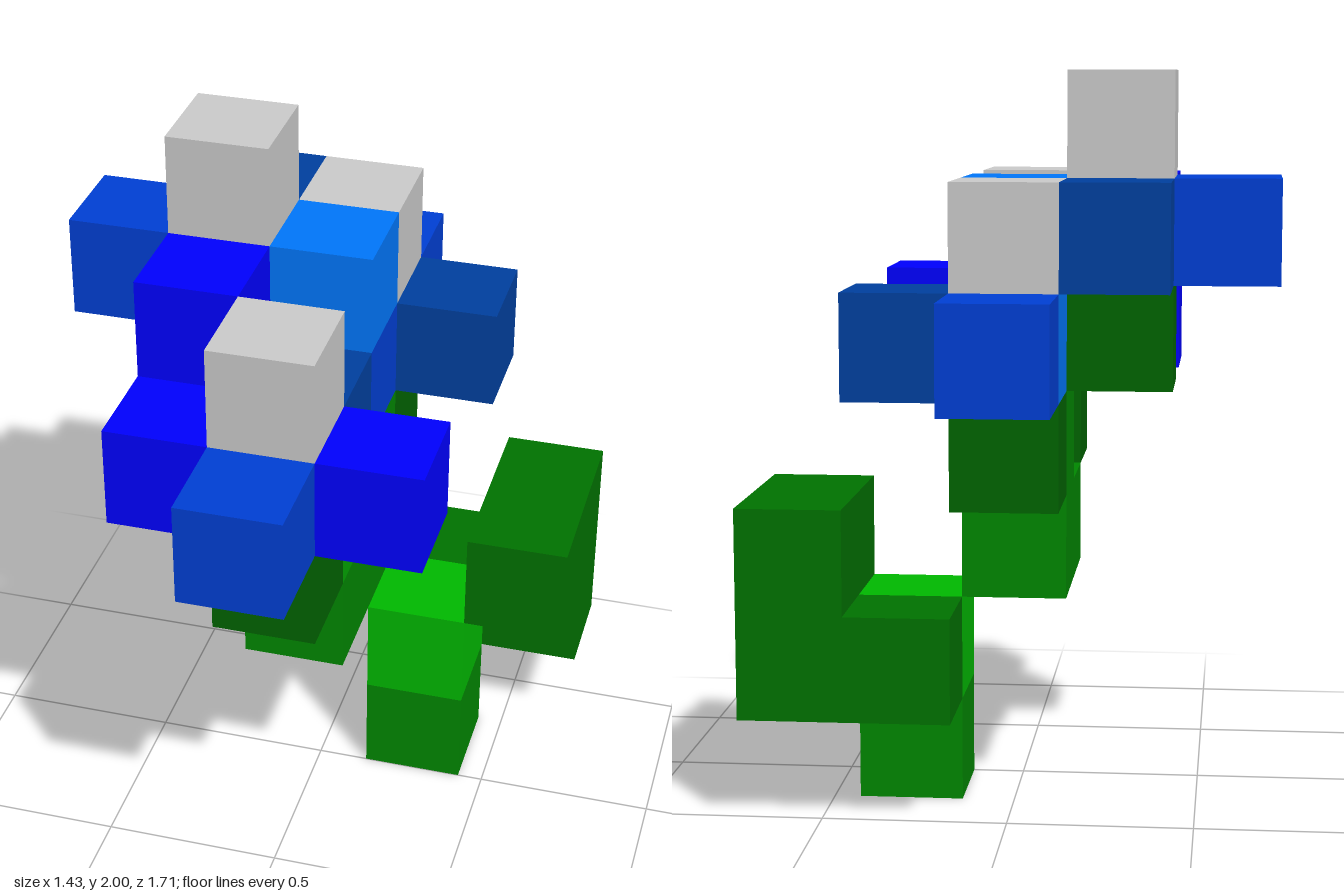
import * as THREE from 'three';

const U = 2 / 7; // edge of one cube
const cube = new THREE.BoxGeometry(U, U, U);

const paint = (color) => new THREE.MeshStandardMaterial({ color, flatShading: true });
const mats = {
  grey: paint(0xcccccc),
  blue: paint(0x0000ff),
  mid: paint(0x003fd5),
  navy: paint(0x0040a0),
  sky: paint(0x0077fb),
  bright: paint(0x00b900),
  green: paint(0x008800),
  leaf: paint(0x007300),
  calyx: paint(0x006500),
};

// One cube on the grid: i along x, j upward, k along z
function addCube(parent, name, mat, [i, j, k]) {
  const mesh = new THREE.Mesh(cube, mats[mat]);
  mesh.name = name;
  mesh.position.set(i * U, (j + 0.5) * U, (k + 0.5) * U);
  parent.add(mesh);
}

function addGroup(parent, name) {
  const group = new THREE.Group();
  group.name = name;
  parent.add(group);
  return group;
}

// Blossom: heart cube, grey pistil above, calyx below, petals on the sides
const SIDES = { left: [1, 0], right: [-1, 0], front: [0, 1], back: [0, -1] };

function addBlossom(parent, name, [i, j, k], petals) {
  const blossom = addGroup(parent, name);
  addCube(blossom, 'heart', 'sky', [i, j, k]);
  addCube(blossom, 'pistil', 'grey', [i, j + 1, k]);
  addCube(blossom, 'calyx', 'calyx', [i, j - 1, k]);
  for (const [side, mat] of Object.entries(petals)) {
    const [dx, dz] = SIDES[side];
    addCube(blossom, side + 'Petal', mat, [i + dx, j, k + dz]);
  }
}

export function createModel() {
  const model = new THREE.Group();
  model.name = 'flower';

  // Stem, stepping sideways as it rises
  const stem = addGroup(model, 'stem');
  addCube(stem, 'stemBase', 'green', [1, 0, -1]);
  addCube(stem, 'stemJoint', 'bright', [1, 1, -1]);
  for (const cell of [[0, 2, -1], [0, 2, 0], [0, 3, -1]]) addCube(stem, 'stemBranch', 'green', cell);

  // Leaf curling around the back of the stem
  const leaf = addGroup(model, 'leaf');
  for (const cell of [[1, 1, -2], [2, 1, -2], [2, 2, -2], [2, 2, -1]]) addCube(leaf, 'leafPart', 'leaf', cell);

  // Three blossoms
  addBlossom(model, 'topBlossom', [-1, 5, -1], { left: 'sky', right: 'mid', front: 'blue', back: 'navy' });
  addBlossom(model, 'backBlossom', [0, 4, -2], { left: 'navy', front: 'mid', back: 'mid' });
  addBlossom(model, 'frontBlossom', [0, 4, 1], { left: 'blue', right: 'blue', front: 'mid', back: 'navy' });

  return model;
}
